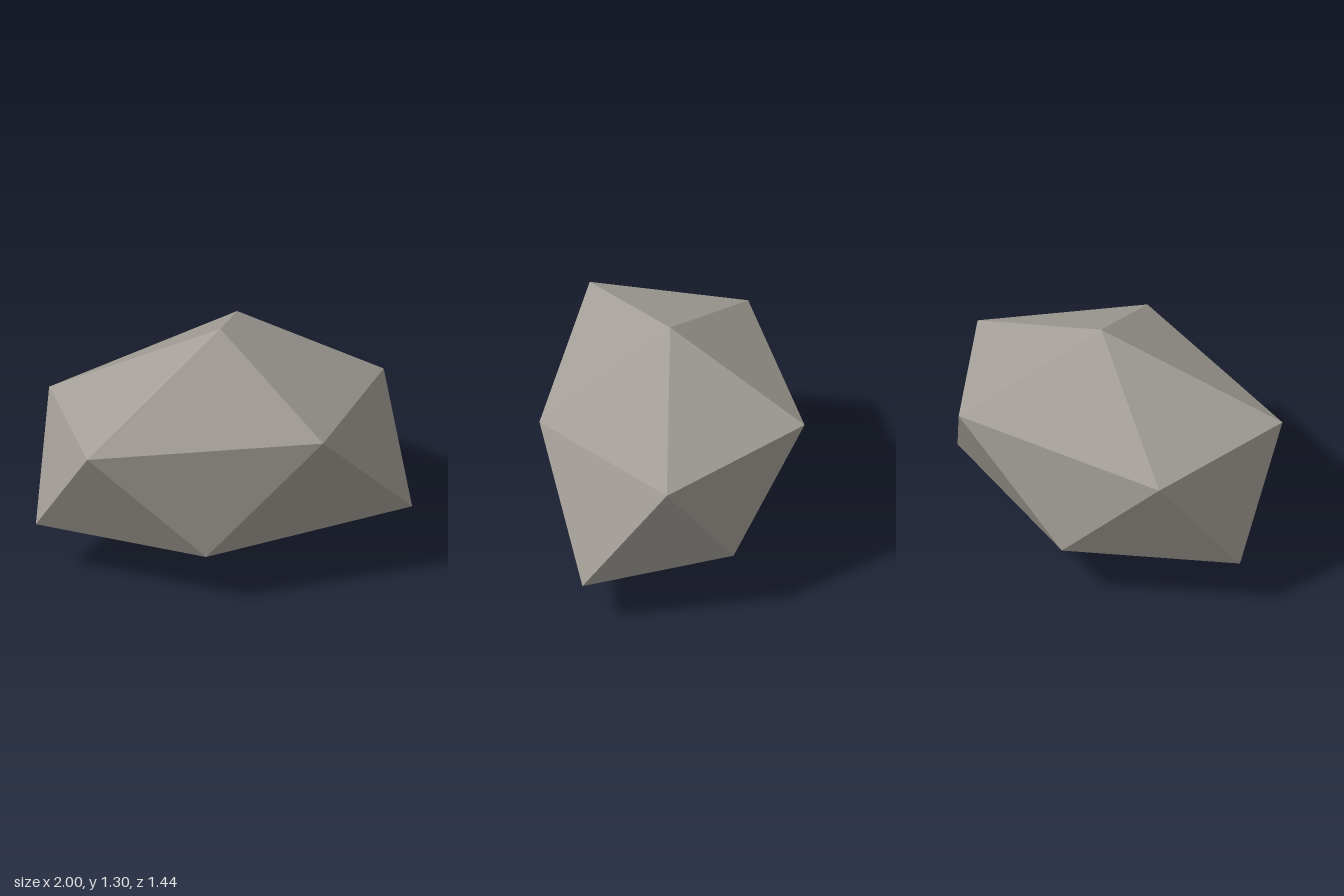
import * as THREE from 'three';

export function createModel() {
  const stone = new THREE.MeshStandardMaterial({ color: 0xa39e97, flatShading: true });
  stone.name = 'warm grey stone';

  // Irregular twenty-sided rock: two poles and two staggered rings of five corners
  const top = [0.06, 1.30, 0.015];
  const bottom = [0.06, 0, 0.015];
  const upper = [
    [-0.87, 0.92, 0.47], [0.40, 0.905, 0.717], [1, 0.857, 0.015],
    [0.42, 0.92, -0.72], [-0.78, 0.875, -0.39],
  ];
  const lower = [
    [-0.255, 0.29, 0.664], [1, 0.245, 0.472], [0.80, 0.315, -0.343],
    [-0.25, 0.297, -0.603], [-1, 0.277, 0.01],
  ];

  // Cap, two side bands and base for each fifth of the rock
  const corners = [];
  for (let i = 0; i < 5; i++) {
    const j = (i + 1) % 5;
    corners.push(
      top, upper[i], upper[j],
      upper[i], lower[i], upper[j],
      lower[i], lower[j], upper[j],
      bottom, lower[j], lower[i],
    );
  }
  const geometry = new THREE.BufferGeometry();
  geometry.setAttribute('position', new THREE.Float32BufferAttribute(corners.flat(), 3));
  geometry.computeVertexNormals();

  const rock = new THREE.Mesh(geometry, stone);
  rock.name = 'rock';
  const group = new THREE.Group();
  group.name = 'boulder';
  group.add(rock);
  return group;
}
